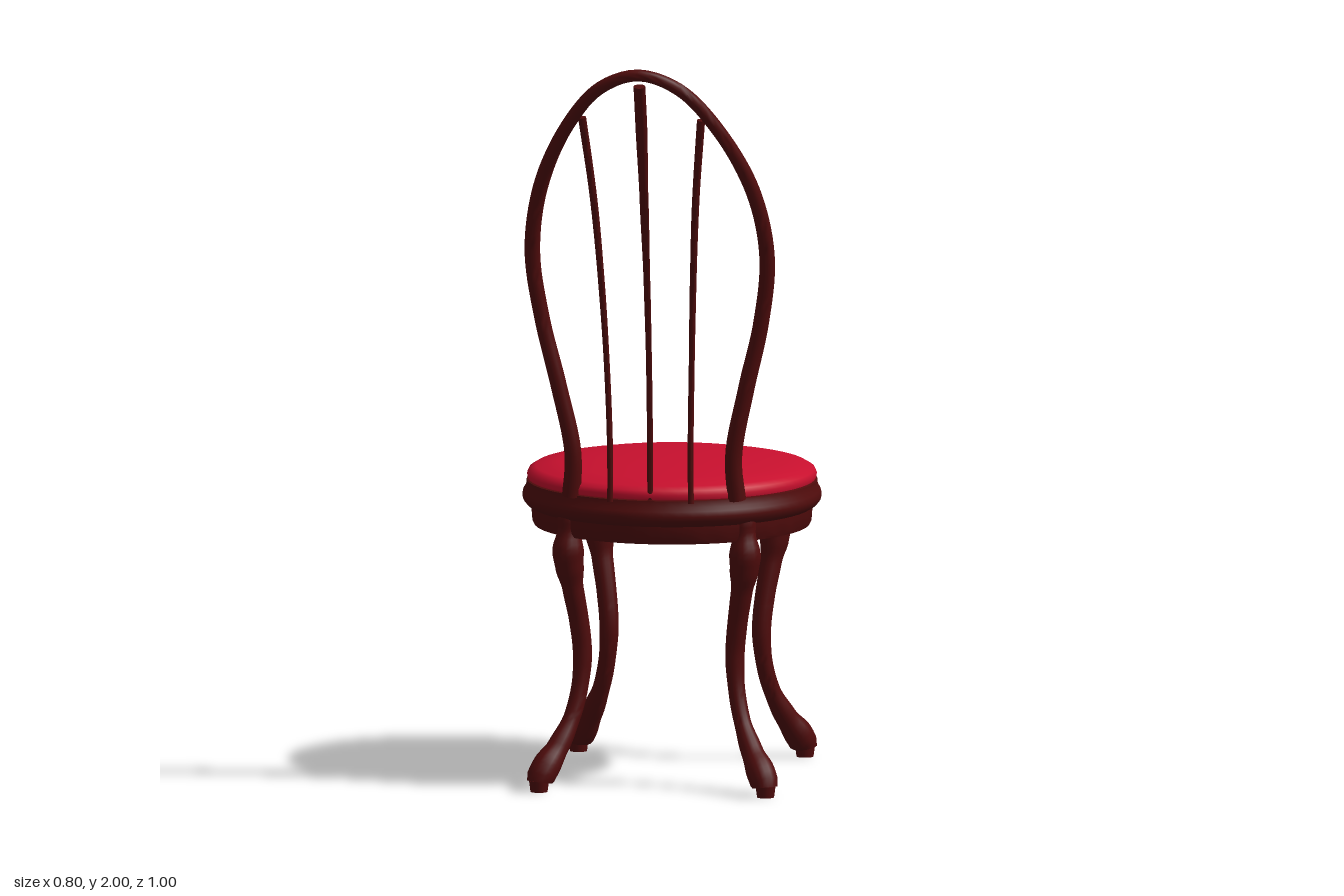
import * as THREE from 'three';
import { toCreasedNormals } from 'three/addons/utils/BufferGeometryUtils.js';

const SEAT_Z = -0.1;

// Radius at height y, from rows of [x, y, z, radius] that run monotonically in y
function radiusAt(rows, y) {
  for (let i = 1; i < rows.length; i++) {
    const [, ya, , ra] = rows[i - 1], [, yb, , rb] = rows[i];
    if ((y - ya) * (y - yb) <= 0) {
      const t = (y - ya) / (yb - ya), s = t * t * (3 - 2 * t);
      return ra + (rb - ra) * s;
    }
  }
  const first = rows[0], last = rows[rows.length - 1];
  return Math.abs(y - first[1]) < Math.abs(y - last[1]) ? first[3] : last[3];
}

// Closed tapered tube along a path, with a radius that depends on height
function taperedTube(path, rows, steps, sides, depth = 1) {
  const curve = new THREE.CatmullRomCurve3(path.map(([x, y, z]) => new THREE.Vector3(x, y, z)));
  const geo = new THREE.TubeGeometry(curve, steps, 1, sides);
  const pos = geo.attributes.position, v = new THREE.Vector3();
  for (let i = 0; i <= steps; i++) {
    const centre = curve.getPointAt(i / steps);
    const isEnd = i === 0 || i === steps;
    const inner = curve.getPointAt(i === 0 ? 1 / steps : (steps - 1) / steps);
    const r = radiusAt(rows, centre.y);
    for (let j = 0; j <= sides; j++) {
      const k = i * (sides + 1) + j;
      v.fromBufferAttribute(pos, k).sub(centre).multiplyScalar(isEnd ? 0 : r);
      v.z *= depth;
      v.add(isEnd ? inner : centre);
      pos.setXYZ(k, v.x, v.y, v.z);
    }
  }
  return toCreasedNormals(geo, 0.9);
}

function lathe(points, crease) {
  const profile = points.map(([r, y]) => new THREE.Vector2(r, y));
  return toCreasedNormals(new THREE.LatheGeometry(profile, 64), crease);
}

export function createModel() {
  const chair = new THREE.Group();
  chair.name = 'chair';
  const wood = new THREE.MeshStandardMaterial({ color: 0x500c0c });
  wood.name = 'dark mahogany';
  const fabric = new THREE.MeshStandardMaterial({ color: 0xc8102e });
  fabric.name = 'red fabric';

  const add = (name, geo, mat, x = 0, y = 0, z = 0) => {
    const mesh = new THREE.Mesh(geo, mat);
    mesh.name = name;
    mesh.position.set(x, y, z);
    chair.add(mesh);
  };

  // Hollow seat ring with a rounded moulding above the apron
  add('seatRing', lathe([
    [0.335, 0.68], [0.368, 0.68], [0.373, 0.69], [0.376, 0.728], [0.388, 0.735],
    [0.397, 0.746], [0.4, 0.758], [0.397, 0.772], [0.39, 0.783], [0.388, 0.8],
    [0.37, 0.805], [0.335, 0.8], [0.335, 0.68],
  ], 0.7), wood, 0, 0, SEAT_Z);

  // Domed cushion, closed underneath
  add('cushion', lathe([
    [0, 0.765], [0.34, 0.765], [0.37, 0.795], [0.384, 0.803], [0.387, 0.815],
    [0.382, 0.827], [0.365, 0.837], [0.3, 0.849], [0.2, 0.859], [0.1, 0.864], [0, 0.866],
  ], 0.8), fabric, 0, 0, SEAT_Z);

  // Cabriole legs: [outward offset, height, radius]
  const legProfile = [
    [0.232, 0.76, 0.03], [0.235, 0.73, 0.034], [0.236, 0.70, 0.031], [0.239, 0.64, 0.043],
    [0.236, 0.60, 0.039], [0.228, 0.54, 0.029], [0.214, 0.45, 0.027], [0.206, 0.36, 0.026],
    [0.212, 0.27, 0.023], [0.23, 0.19, 0.023], [0.262, 0.115, 0.03], [0.29, 0.065, 0.039],
    [0.303, 0.035, 0.038], [0.306, 0.012, 0.026],
  ];
  for (const [sz, end] of [[-1, 'front'], [1, 'back']]) {
    for (const [sx, side] of [[1, 'Left'], [-1, 'Right']]) {
      const rows = legProfile.map(([d, y, r]) => [sx * d, y, SEAT_Z + sz * d * 1.13, r]);
      add(`${end}${side}Leg`, taperedTube(rows, rows, 56, 16), wood);
      add(`${end}${side}FootPad`, new THREE.CylinderGeometry(0.027, 0.023, 0.03, 20), wood,
        sx * 0.306, 0.015, SEAT_Z + sz * 0.345);
    }
  }

  // Balloon-shaped back hoop, mirrored about the centre
  const halfHoop = [
    [0.226, 0.775, 0.21, 0.025], [0.217, 0.915, 0.228, 0.023], [0.253, 1.10, 0.244, 0.022],
    [0.296, 1.285, 0.258, 0.021], [0.317, 1.47, 0.29, 0.021], [0.286, 1.656, 0.342, 0.02],
    [0.2, 1.836, 0.42, 0.018], [0.105, 1.945, 0.467, 0.017], [0, 1.983, 0.484, 0.016],
  ];
  const mirrored = halfHoop.slice(0, -1).reverse().map(([x, y, z, r]) => [-x, y, z, r]);
  add('backHoop', taperedTube([...halfHoop, ...mirrored], halfHoop, 120, 14), wood);

  // Three slim curved spindles
  const middle = [
    [0, 0.77, 0.28, 0.008], [0, 0.95, 0.284, 0.008], [0, 1.18, 0.303, 0.008],
    [0, 1.4, 0.338, 0.009], [0, 1.63, 0.389, 0.012], [0, 1.85, 0.44, 0.016], [0, 1.975, 0.478, 0.016],
  ];
  add('middleSpindle', taperedTube(middle, middle, 48, 10, 0.6), wood);
  for (const [sx, name] of [[1, 'leftSpindle'], [-1, 'rightSpindle']]) {
    const rows = [
      [0.109, 0.77, 0.275, 0.008], [0.109, 0.95, 0.28, 0.008], [0.115, 1.18, 0.299, 0.008],
      [0.124, 1.4, 0.333, 0.009], [0.138, 1.63, 0.378, 0.01], [0.163, 1.88, 0.438, 0.011],
    ].map(([x, y, z, r]) => [sx * x, y, z, r]);
    add(name, taperedTube(rows, rows, 48, 10, 0.7), wood);
  }

  return chair;
}
